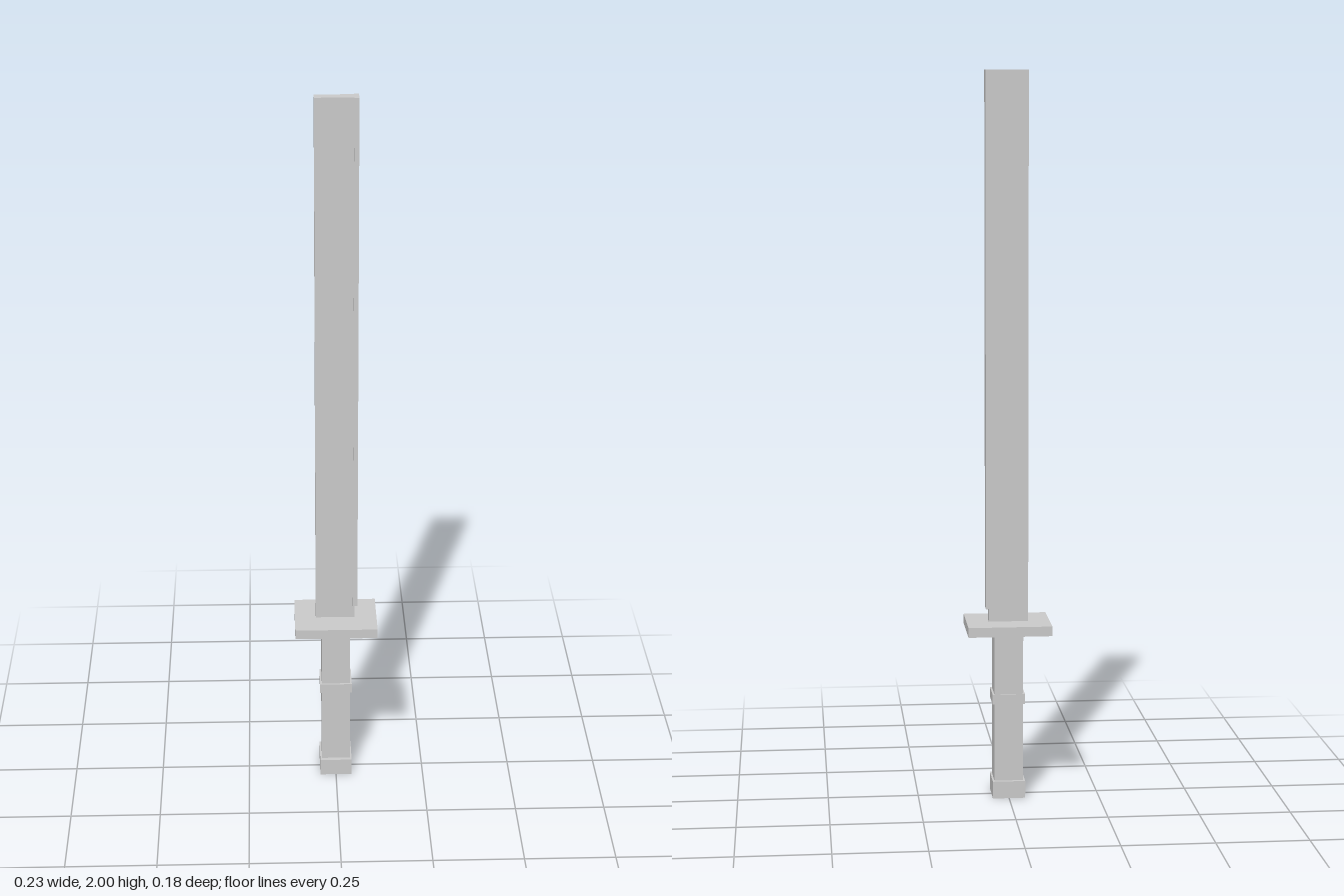
import * as THREE from 'three';

export function createModel() {
  const group = new THREE.Group();
  const material = new THREE.MeshStandardMaterial({ color: 0xcccccc, flatShading: true });

  // Box given by its extents along x, y and z
  function block(name, [x0, x1], [y0, y1], [z0, z1]) {
    const mesh = new THREE.Mesh(new THREE.BoxGeometry(x1 - x0, y1 - y0, z1 - z0), material);
    mesh.position.set((x0 + x1) / 2, (y0 + y1) / 2, (z0 + z1) / 2);
    mesh.name = name;
    group.add(mesh);
  }

  // Hilt
  block('pommel', [-0.045, 0.045], [0, 0.048], [-0.05, 0.052]);
  block('grip', [-0.04, 0.04], [0.048, 0.468], [-0.04, 0.04]);
  block('gripBand', [-0.045, 0.045], [0.266, 0.294], [-0.044, 0.046]);
  block('guard', [-0.115, 0.115], [0.467, 0.494], [-0.092, 0.092]);

  // Blade with a thicker spine that stops short of the guard
  block('blade', [-0.056, 0.053], [0.494, 2], [-0.016, 0.015]);
  block('bladeSpine', [0.048, 0.061], [0.53, 2], [-0.02, 0.018]);

  return group;
}
